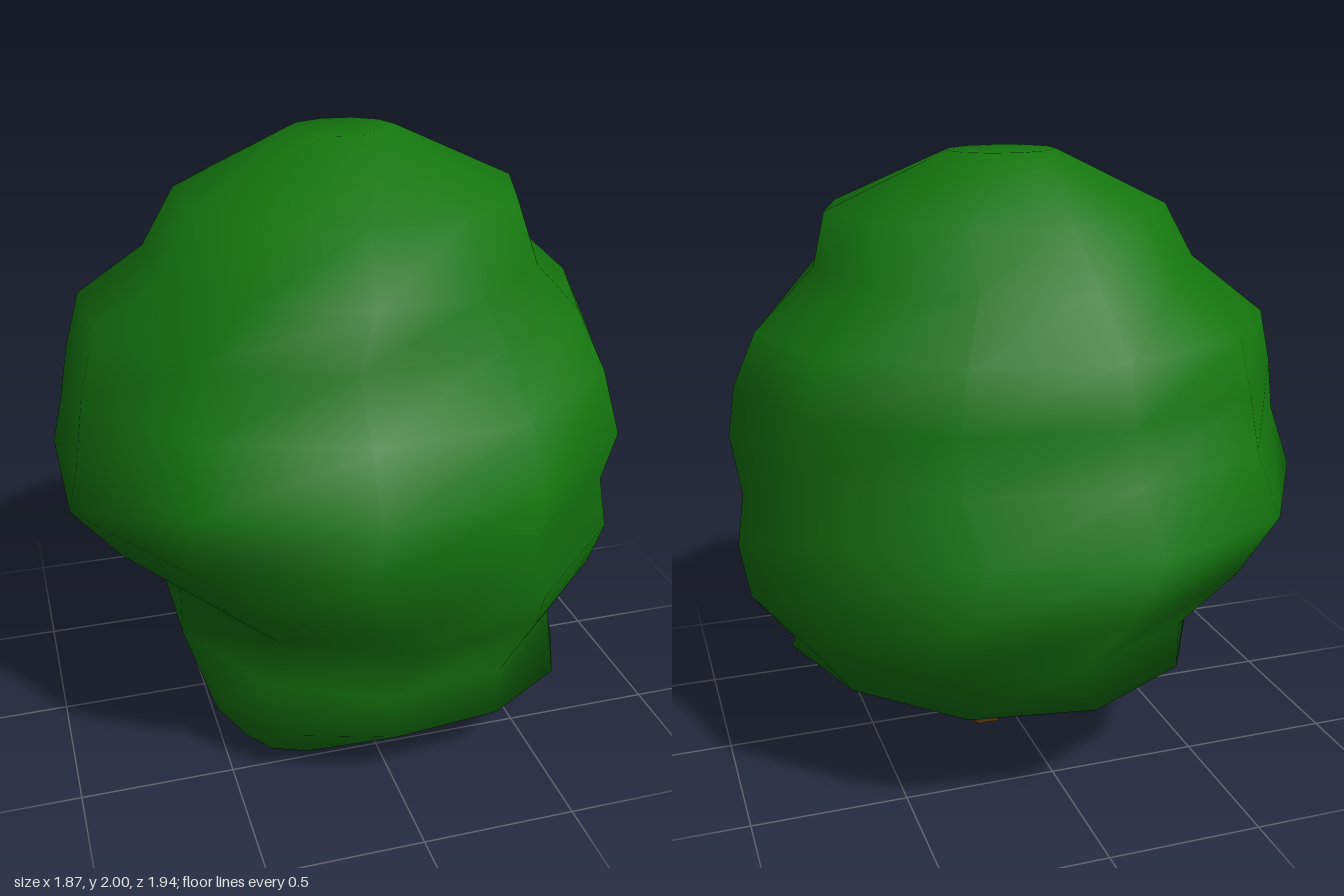
import * as THREE from 'three';

const SIDES = 11;

// Crown rings from bottom to top: y, xMin, xMax, zMin, zMax
const RINGS = [
  [0.02, -0.42, 0.01, 0.11, 0.50],
  [0.20, -0.53, 0.73, -0.14, 0.73],
  [0.38, -0.60, 0.76, -0.79, 0.77],
  [0.56, -0.60, 0.90, -0.85, 0.81],
  [0.74, -0.79, 0.93, -0.95, 0.94],
  [0.92, -0.94, 0.905, -0.97, 0.95],
  [1.10, -0.91, 0.93, -0.85, 0.97],
  [1.28, -0.875, 0.91, -0.81, 0.83],
  [1.46, -0.82, 0.84, -0.77, 0.69],
  [1.64, -0.61, 0.63, -0.61, 0.71],
  [1.82, -0.50, 0.60, -0.51, 0.50],
  [2.00, -0.14, 0.21, -0.19, 0.10],
];

// Points of one polygonal ring, stretched to fill its extents
function ringPoints([y, x0, x1, z0, z1]) {
  const lowX = -Math.cos(Math.PI / SIDES);
  const topZ = Math.sin((2 * Math.PI * 3) / SIDES);
  return Array.from({ length: SIDES }, (_, i) => {
    const a = (2 * Math.PI * i) / SIDES;
    const u = (Math.cos(a) - lowX) / (1 - lowX);
    const v = (Math.sin(a) / topZ + 1) / 2;
    return new THREE.Vector3(x0 + u * (x1 - x0), y, z0 + v * (z1 - z0));
  });
}

// Smooth lofted skin closed by a flat top
function crownGeometry(rings) {
  const points = rings.flat();
  const index = [];
  for (let k = 0; k < rings.length - 1; k++) {
    for (let i = 0; i < SIDES; i++) {
      const j = (i + 1) % SIDES;
      const a = k * SIDES + i, b = k * SIDES + j;
      index.push(a, a + SIDES, b, a + SIDES, b + SIDES, b);
    }
  }
  const top = (rings.length - 1) * SIDES;
  for (let i = 1; i < SIDES - 1; i++) index.push(top, top + i + 1, top + i);
  const geometry = new THREE.BufferGeometry().setFromPoints(points);
  geometry.setIndex(index);
  geometry.computeVertexNormals();
  return geometry;
}

// Flat underside with its own hard edge
function undersideGeometry(ring) {
  const geometry = new THREE.BufferGeometry().setFromPoints(ring);
  const index = [];
  for (let i = 1; i < SIDES - 1; i++) index.push(0, i, i + 1);
  geometry.setIndex(index);
  geometry.computeVertexNormals();
  return geometry;
}

// Tapered trunk with alternating ridges and grooves
function trunkGeometry() {
  const geometry = new THREE.CylinderGeometry(0.05, 0.072, 0.5, 12, 3);
  const p = geometry.attributes.position;
  for (let i = 0; i < p.count; i++) {
    const x = p.getX(i), z = p.getZ(i);
    const groove = 0.91 + 0.09 * Math.cos(6 * Math.atan2(z, x));
    p.setXYZ(i, x * groove, p.getY(i), z * groove);
  }
  geometry.computeVertexNormals();
  return geometry;
}

export function createModel() {
  const tree = new THREE.Group();
  tree.name = 'tree';
  const leaves = new THREE.MeshStandardMaterial({ color: 0x14750e });
  const bark = new THREE.MeshStandardMaterial({ color: 0x55300f });

  const rings = RINGS.map(ringPoints);
  const crown = new THREE.Mesh(crownGeometry(rings), leaves);
  crown.name = 'crown';
  const underside = new THREE.Mesh(undersideGeometry(rings[0]), leaves);
  underside.name = 'crownUnderside';

  const trunk = new THREE.Mesh(trunkGeometry(), bark);
  trunk.name = 'trunk';
  trunk.position.set(0.107, 0.25, -0.065);

  tree.add(crown, underside, trunk);
  return tree;
}
